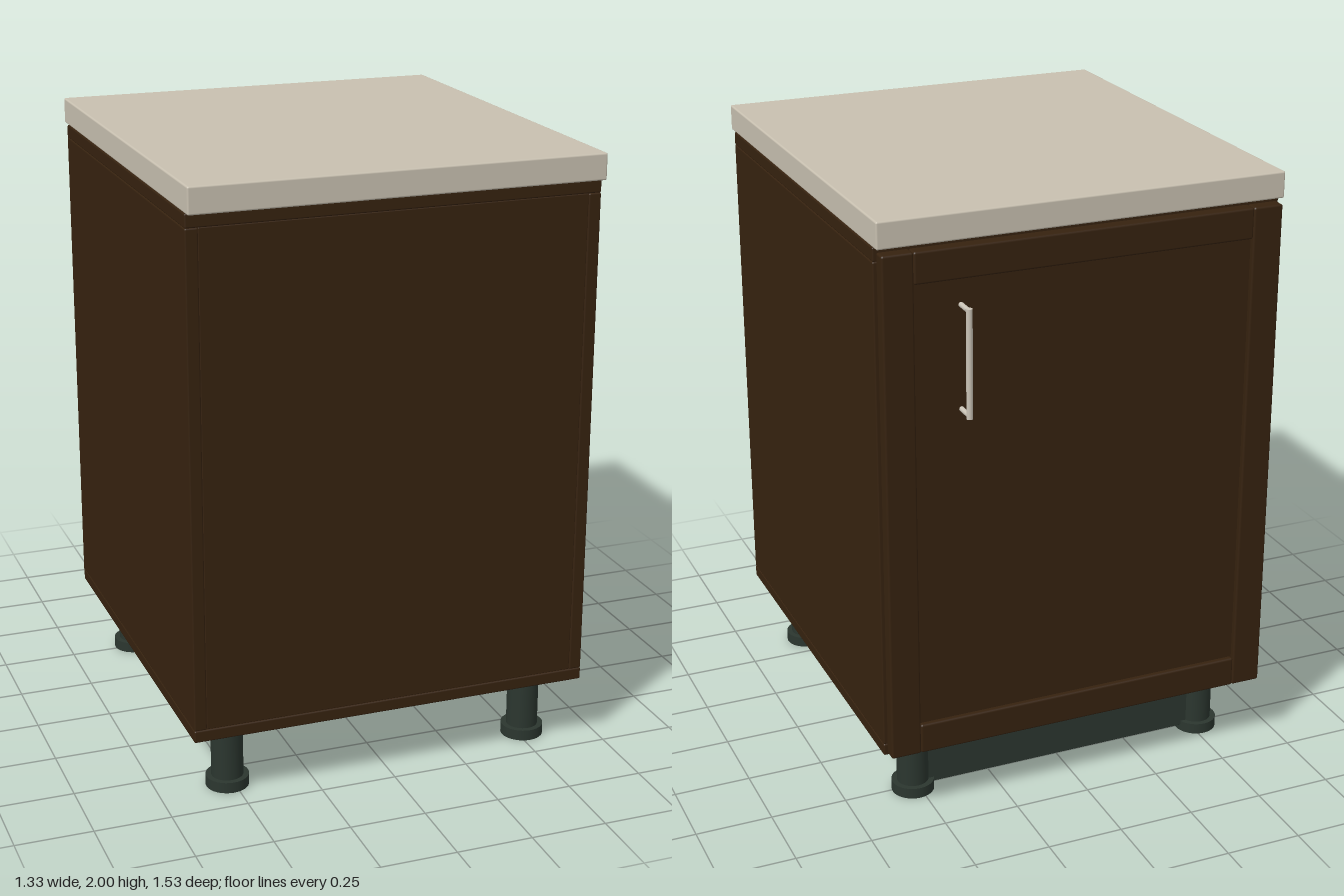
import * as THREE from 'three';
import { RoundedBoxGeometry } from 'three/addons/geometries/RoundedBoxGeometry.js';

const mat = (name, color) => Object.assign(new THREE.MeshStandardMaterial({ color }), { name });

export function createModel() {
  const model = new THREE.Group();
  model.name = 'baseCabinet';
  const wood = mat('dark wood', 0x36220f);
  const stone = mat('beige worktop', 0xc8c0b0);
  const plastic = mat('dark green grey plastic', 0x2b362f);
  const metal = mat('pale metal', 0xcac3b6);

  const add = (parent, name, geometry, material, x = 0, y = 0, z = 0) => {
    const mesh = new THREE.Mesh(geometry, material);
    mesh.name = name;
    mesh.position.set(x, y, z);
    parent.add(mesh);
    return mesh;
  };
  // Box given by its limits on each axis, with slightly eased edges
  const board = (parent, name, material, [x0, x1], [y0, y1], [z0, z1], ease = 0.005) =>
    add(parent, name, new RoundedBoxGeometry(x1 - x0, y1 - y0, z1 - z0, 2, ease), material,
      (x0 + x1) / 2, (y0 + y1) / 2, (z0 + z1) / 2);
  const group = (name) => {
    const g = new THREE.Group();
    g.name = name;
    model.add(g);
    return g;
  };

  // Worktop
  board(model, 'worktop', stone, [-0.665, 0.665], [1.915, 2], [-0.681, 0.763], 0.006);

  // Carcass
  const carcass = group('carcass');
  const depth = [-0.645, 0.73];
  board(carcass, 'bottomPanel', wood, [-0.665, 0.665], [0.23, 0.27], depth);
  board(carcass, 'topPanel', wood, [-0.665, 0.665], [1.87, 1.914], depth);
  board(carcass, 'leftPanel', wood, [0.624, 0.665], [0.27, 1.87], depth);
  board(carcass, 'rightPanel', wood, [-0.665, -0.624], [0.27, 1.87], depth);
  board(carcass, 'closingPanel', wood, [-0.624, 0.624], [0.27, 1.87], [0.7, 0.727], 0.003);

  // Framed door
  const door = group('door');
  const doorDepth = [-0.693, -0.647];
  board(door, 'leftStile', wood, [0.556, 0.655], [0.24, 1.9], doorDepth, 0.007);
  board(door, 'rightStile', wood, [-0.655, -0.556], [0.24, 1.9], doorDepth, 0.007);
  board(door, 'topRail', wood, [-0.556, 0.556], [1.8, 1.9], doorDepth, 0.007);
  board(door, 'bottomRail', wood, [-0.556, 0.556], [0.24, 0.34], doorDepth, 0.007);
  board(door, 'doorPanel', wood, [-0.57, 0.57], [0.33, 1.81], [-0.676, -0.655], 0.003);

  // Door handle: upright bar on two posts
  const handle = group('handle');
  add(handle, 'handleBar', new THREE.CylinderGeometry(0.01, 0.01, 0.345, 16), metal, 0.41, 1.557, -0.753);
  for (const y of [1.393, 1.722]) {
    add(handle, 'handlePost', new THREE.CylinderGeometry(0.008, 0.008, 0.065, 16), metal, 0.41, y, -0.722)
      .rotation.x = Math.PI / 2;
  }

  // Legs with wide feet
  for (const x of [-0.52, 0.52]) {
    for (const z of [-0.51, 0.6]) {
      const leg = group('leg');
      leg.position.set(x, 0, z);
      add(leg, 'legTube', new THREE.CylinderGeometry(0.052, 0.052, 0.2, 32), plastic, 0, 0.132);
      add(leg, 'foot', new THREE.CylinderGeometry(0.07, 0.07, 0.036, 32), plastic, 0, 0.018);
    }
  }

  // Plinth between the legs under the door
  board(model, 'plinth', plastic, [-0.555, 0.555], [0.02, 0.212], [-0.532, -0.506], 0.003);

  return model;
}
